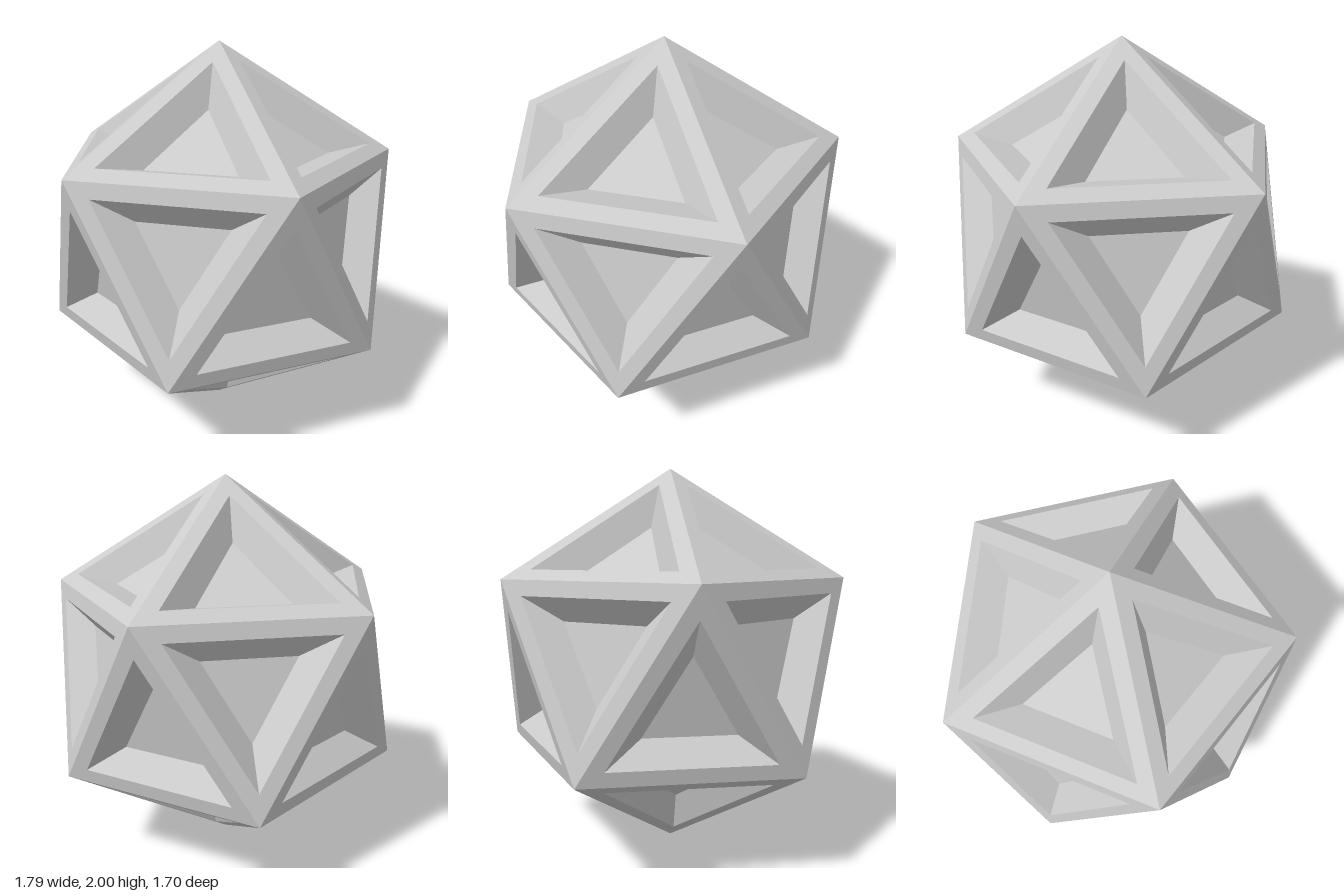
import * as THREE from 'three';

const RIM = 0.75;          // opening size relative to the face
const FLOOR = 0.425;       // recess floor size relative to the face
const DEPTH = 0.85;        // floor distance from the centre, relative to the face

// Twenty outward-facing triangles: caps around both poles and a zigzag belt
function icosahedronFaces() {
  const h = 1 / Math.sqrt(5), r = 2 * h;
  const ring = (y, turn) => Array.from({ length: 5 }, (_, k) => {
    const a = (k + turn) * Math.PI * 0.4;
    return new THREE.Vector3(r * Math.cos(a), y, r * Math.sin(a));
  });
  const top = new THREE.Vector3(0, 1, 0), bottom = new THREE.Vector3(0, -1, 0);
  const up = ring(h, 0), low = ring(-h, 0.5);
  const faces = [];
  for (let k = 0; k < 5; k++) {
    const n = (k + 1) % 5;
    faces.push(
      [top, up[n], up[k]],
      [up[k], up[n], low[k]],
      [low[k], up[n], low[n]],
      [bottom, low[k], low[n]]
    );
  }
  return faces;
}

// Scale a triangle about its centroid, then move the centroid towards the centre
function inset(face, scale, depth = 1) {
  const c = new THREE.Vector3();
  face.forEach(v => c.addScaledVector(v, 1 / 3));
  return face.map(v => v.clone().sub(c).multiplyScalar(scale).addScaledVector(c, depth));
}

// Band of three quads between two triangles
function band(out, a, b) {
  for (let i = 0; i < 3; i++) {
    const j = (i + 1) % 3;
    out.push(a[i], a[j], b[j], a[i], b[j], b[i]);
  }
}

function flatMesh(name, points, material) {
  const geometry = new THREE.BufferGeometry().setFromPoints(points);
  geometry.computeVertexNormals();
  const mesh = new THREE.Mesh(geometry, material);
  mesh.name = name;
  mesh.position.y = 1;
  return mesh;
}

export function createModel() {
  const material = new THREE.MeshStandardMaterial({ color: 0xcccccc, flatShading: true });
  const frame = [], walls = [], floors = [];

  for (const face of icosahedronFaces()) {
    const rim = inset(face, RIM);
    const floor = inset(face, FLOOR, DEPTH);
    band(frame, face, rim);
    band(walls, rim, floor);
    floors.push(...floor);
  }

  const group = new THREE.Group();
  group.name = 'recessedIcosahedron';
  group.add(
    flatMesh('edgeFrame', frame, material),
    flatMesh('recessWalls', walls, material),
    flatMesh('recessFloors', floors, material)
  );
  return group;
}
